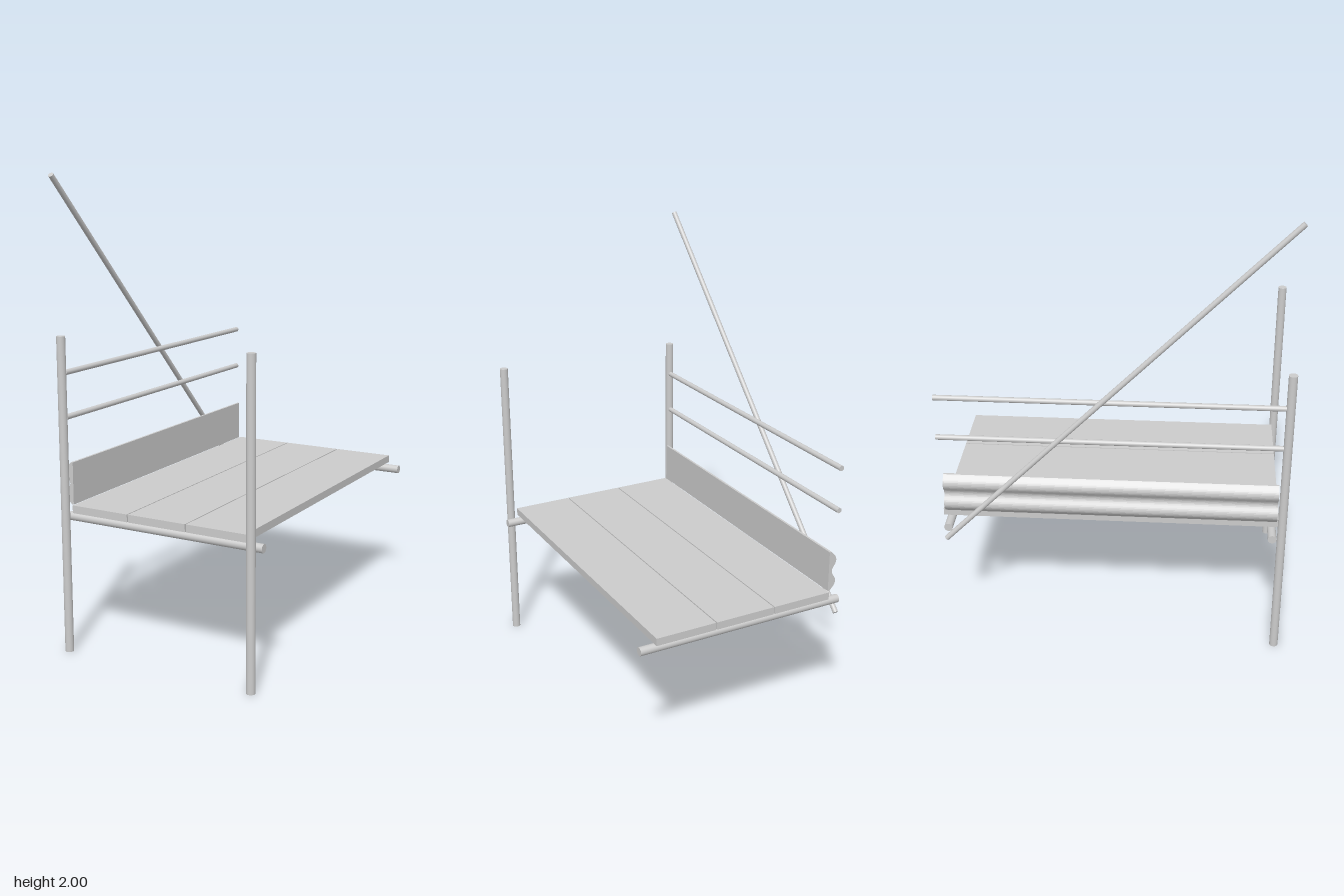
import * as THREE from 'three';

const material = new THREE.MeshStandardMaterial({ color: 0xcccccc });

// Round tube between two points
function pole(name, from, to, radius) {
  const a = new THREE.Vector3(...from);
  const b = new THREE.Vector3(...to);
  const dir = b.clone().sub(a);
  const mesh = new THREE.Mesh(new THREE.CylinderGeometry(radius, radius, dir.length(), 24), material);
  mesh.position.copy(a).add(b).multiplyScalar(0.5);
  mesh.quaternion.setFromUnitVectors(new THREE.Vector3(0, 1, 0), dir.normalize());
  mesh.name = name;
  return mesh;
}

export function createModel() {
  const model = new THREE.Group();
  model.name = 'scaffoldBay';

  // Upright standards at the front
  model.add(pole('rightStandard', [-0.438, 0, 0.717], [-0.438, 1.35, 0.717], 0.0185));
  model.add(pole('leftStandard', [0.438, 0, 0.717], [0.438, 1.35, 0.717], 0.0185));

  // Cross tubes carrying the deck
  model.add(pole('frontTransom', [-0.473, 0.586, 0.676], [0.473, 0.586, 0.676], 0.0185));
  model.add(pole('backTransom', [-0.473, 0.586, -0.703], [0.473, 0.586, -0.703], 0.0185));

  // Three deck planks
  for (let i = -1; i <= 1; i++) {
    const plank = new THREE.Mesh(new THREE.BoxGeometry(0.27, 0.033, 1.438), material);
    plank.position.set(i * 0.275, 0.625, -0.013);
    plank.name = 'deckPlank';
    model.add(plank);
  }

  // Guard rails
  for (const y of [1.012, 1.198]) {
    model.add(pole('guardRail', [-0.436, y, 0.7], [-0.436, y, -0.735], 0.0115));
  }

  // Diagonal brace on the outside
  model.add(pole('diagonalBrace', [-0.463, 0.525, -0.715], [-0.463, 1.991, 0.718], 0.0115));

  // Toe board: flat inside, waved outside
  const profile = new THREE.Shape();
  profile.moveTo(-0.412, 0.642);
  profile.lineTo(-0.412, 0.822);
  profile.lineTo(-0.422, 0.822);
  profile.bezierCurveTo(-0.43, 0.81, -0.447, 0.8, -0.447, 0.78);
  profile.bezierCurveTo(-0.447, 0.76, -0.427, 0.75, -0.427, 0.732);
  profile.bezierCurveTo(-0.427, 0.714, -0.447, 0.704, -0.447, 0.684);
  profile.bezierCurveTo(-0.447, 0.664, -0.43, 0.654, -0.422, 0.642);
  profile.closePath();
  const board = new THREE.ExtrudeGeometry(profile, { depth: 1.415, bevelEnabled: false, curveSegments: 8 });
  const toeBoard = new THREE.Mesh(board, material);
  toeBoard.position.z = -0.72;
  toeBoard.name = 'toeBoard';
  model.add(toeBoard);

  return model;
}
